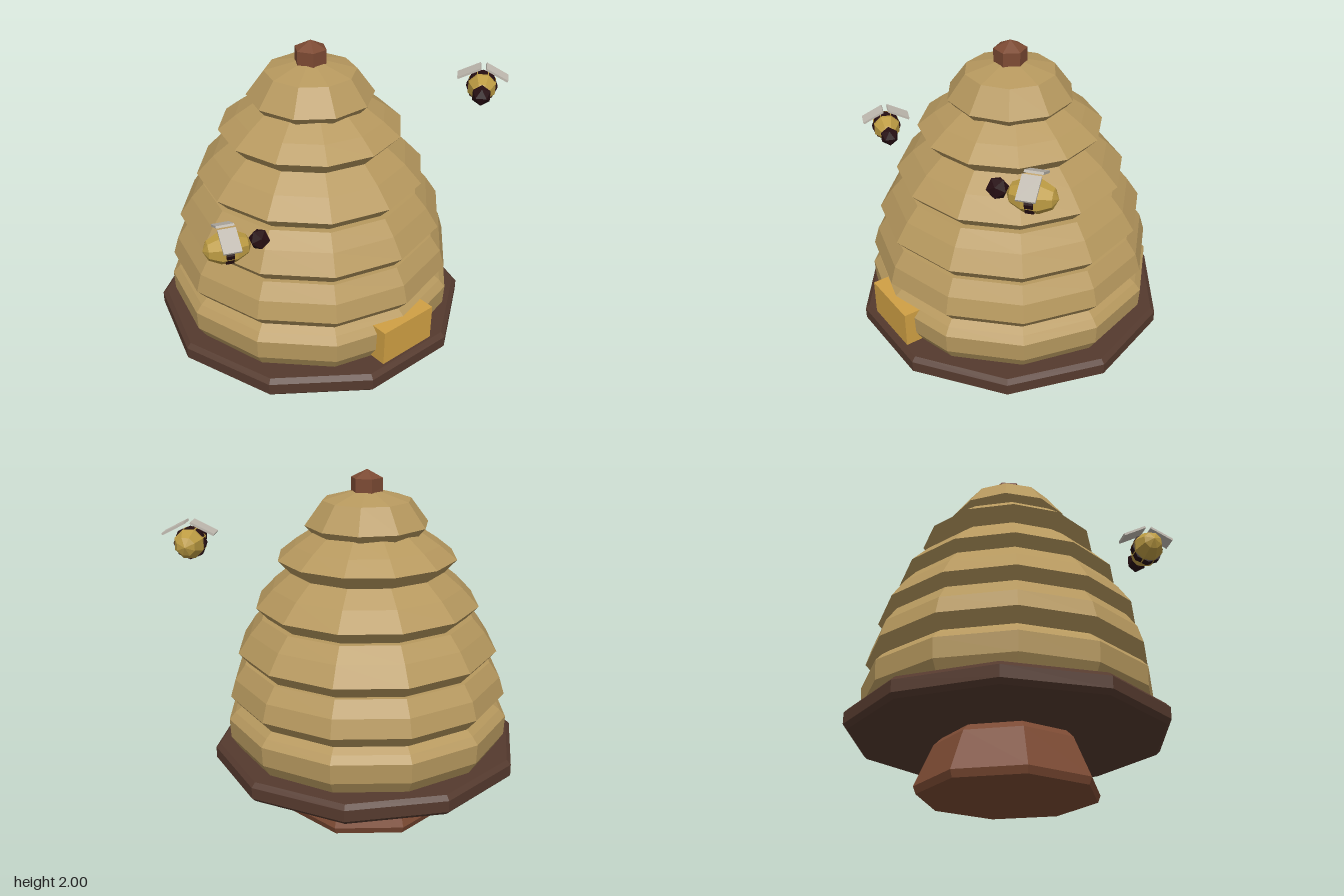
import * as THREE from 'three';

const mat = (name, color) => {
  const m = new THREE.MeshStandardMaterial({ color, flatShading: true });
  m.name = name;
  return m;
};

export function createModel() {
  const straw = mat('straw', 0xb6985e);
  const darkWood = mat('dark wood', 0x553a2e);
  const redWood = mat('red wood', 0x7c4a33);
  const honey = mat('honey', 0xd0a044);
  const beeYellow = mat('bee yellow', 0xbd9c43);
  const beeDark = mat('bee dark', 0x260e12);
  const wingGrey = mat('wing grey', 0xc0bab0);

  const model = new THREE.Group();
  model.name = 'beehive';
  const hive = new THREE.Group();
  hive.name = 'hive';
  hive.position.x = -0.02;
  model.add(hive);

  const add = (parent, name, geometry, material) => {
    const mesh = new THREE.Mesh(geometry, material);
    mesh.name = name;
    parent.add(mesh);
    return mesh;
  };
  // Faceted solid of revolution from [radius, y] points, bottom to top
  const turned = (name, points, sides, start, material) => add(hive, name,
    new THREE.LatheGeometry(points.map(([r, y]) => new THREE.Vector2(r, y)), sides, start), material);

  // Stand, floor board and top knob
  turned('stand', [[0, 0], [0.495, 0], [0.51, 0.04], [0.41, 0.27], [0.36, 0.32], [0, 0.32]],
    8, Math.PI / 8, redWood);
  turned('floorBoard', [[0, 0.31], [0.875, 0.31], [0.9, 0.335], [0.9, 0.4], [0.875, 0.425], [0, 0.425]],
    10, Math.PI / 2, darkWood);
  turned('knob', [[0.09, 1.86], [0.09, 1.955], [0, 2]], 6, Math.PI / 2, redWood);

  // Stacked straw tiers, each flaring at its lower rim
  turned('strawTiers', [
    [0.765, 0.42], [0.815, 0.5], [0.82, 0.61], [0.785, 0.65], [0.745, 0.68],
    [0.805, 0.75], [0.775, 0.85], [0.715, 0.935], [0.69, 0.936],
    [0.75, 1.005], [0.68, 1.11], [0.61, 1.19], [0.575, 1.191],
    [0.64, 1.26], [0.545, 1.36], [0.44, 1.445],
    [0.51, 1.52], [0.415, 1.595], [0.3, 1.67], [0, 1.67],
  ], 12, 0, straw);
  turned('strawCap', [[0, 1.655], [0.31, 1.655], [0.35, 1.7], [0.25, 1.835], [0.07, 1.885], [0, 1.885]],
    10, Math.PI / 2, straw);

  // Entrance block
  add(hive, 'entrance', new THREE.BoxGeometry(0.36, 0.21, 0.13), honey).position.set(0, 0.545, 0.765);

  // Bees, built heading along +x
  const bodyGeo = new THREE.SphereGeometry(0.085, 8, 5);
  bodyGeo.rotateY(Math.PI / 8).rotateZ(-Math.PI / 2).scale(1.45, 1, 1);
  const bandGeo = new THREE.CylinderGeometry(0.086, 0.086, 0.04, 8).rotateZ(-Math.PI / 2);
  const headGeo = new THREE.IcosahedronGeometry(0.056, 0);
  const wingGeo = new THREE.BoxGeometry(0.092, 0.012, 0.137);

  const addBee = (name, x, y, z, turn) => {
    const bee = new THREE.Group();
    bee.name = name;
    bee.position.set(x, y, z);
    bee.rotation.y = turn;
    add(bee, 'body', bodyGeo, beeYellow);
    add(bee, 'stripe', bandGeo, beeDark);
    add(bee, 'head', headGeo, beeDark).position.set(0.165, 0.012, 0);
    for (const side of [-1, 1]) {
      const wing = add(bee, side > 0 ? 'rightWing' : 'leftWing', wingGeo, wingGrey);
      wing.position.set(0, 0.083, side * 0.076);
      wing.rotation.x = side * 0.47;
    }
    model.add(bee);
  };
  addBee('rightBee', -0.845, 1.237, 0.352, -0.375);
  addBee('leftBee', 0.832, 1.66, 0.472, -2.45);

  return model;
}
